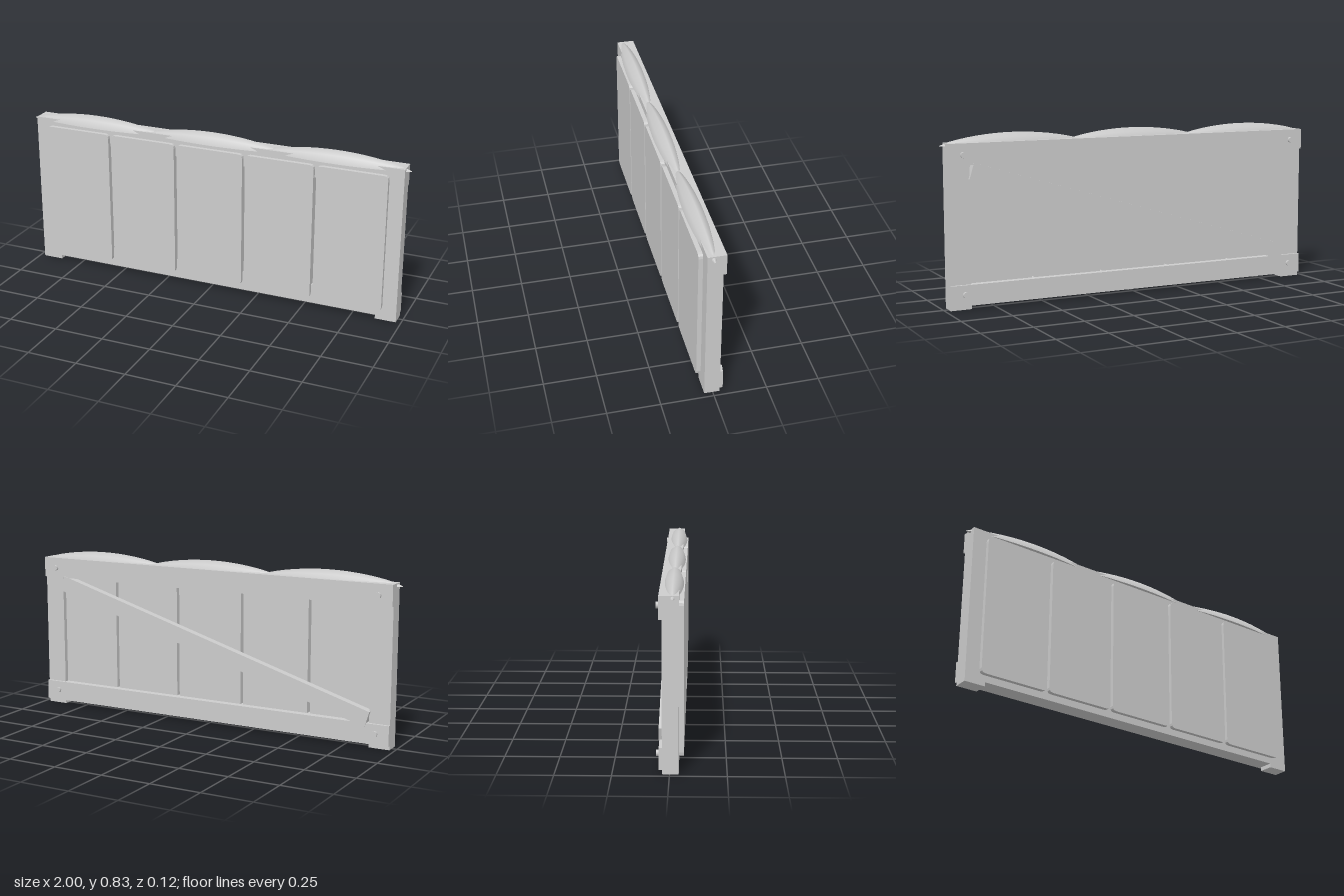
import * as THREE from 'three';

export function createModel() {
  const group = new THREE.Group();
  group.name = 'woodenBarrier';
  const grey = new THREE.MeshStandardMaterial({ color: 0xcccccc });
  grey.name = 'plainGrey';

  const add = (name, geometry, x = 0, y = 0, z = 0) => {
    const mesh = new THREE.Mesh(geometry, grey);
    mesh.name = name;
    mesh.position.set(x, y, z);
    group.add(mesh);
    return mesh;
  };
  // Box given by its limits on each axis
  const box = (name, x0, x1, y0, y1, z0, z1) =>
    add(name, new THREE.BoxGeometry(x1 - x0, y1 - y0, z1 - z0),
      (x0 + x1) / 2, (y0 + y1) / 2, (z0 + z1) / 2);

  // Frame: two posts and two rails
  box('leftPost', 0.87, 0.975, 0, 0.788, -0.033, 0.04);
  box('rightPost', -0.975, -0.87, 0, 0.788, -0.033, 0.04);
  box('topRail', -0.975, 0.975, 0.685, 0.788, -0.047, 0.04);
  box('bottomRail', -0.975, 0.975, 0.02, 0.12, -0.047, 0.04);

  // Upright planks with rounded corners
  const w = 0.175, h = 0.349, r = 0.022;
  const shape = new THREE.Shape();
  shape.moveTo(-w + r, -h);
  shape.lineTo(w - r, -h);
  shape.quadraticCurveTo(w, -h, w, -h + r);
  shape.lineTo(w, h - r);
  shape.quadraticCurveTo(w, h, w - r, h);
  shape.lineTo(-w + r, h);
  shape.quadraticCurveTo(-w, h, -w, h - r);
  shape.lineTo(-w, -h + r);
  shape.quadraticCurveTo(-w, -h, -w + r, -h);
  const plank = new THREE.ExtrudeGeometry(shape, { depth: 0.071, bevelEnabled: false, curveSegments: 3 });
  for (let i = -2; i <= 2; i++) add('plank', plank, i * 0.3645, 0.402, -0.01);

  // Diagonal brace across the back
  const brace = add('diagonalBrace', new THREE.BoxGeometry(1.806, 0.08, 0.04), 0, 0.3975, -0.03);
  brace.rotation.z = 0.291;

  // Bolts at the frame corners
  const bolt = new THREE.CylinderGeometry(0.015, 0.015, 0.02, 8);
  bolt.rotateX(-Math.PI / 2);
  for (const x of [-0.905, 0.905])
    for (const y of [0.074, 0.734]) add('bolt', bolt, x, y, -0.05);

  // Tapered mounds lying along the top rail
  const mound = moundGeometry();
  for (const x of [-0.635, 0, 0.635]) add('topMound', mound, x, 0.772, 0.012);

  return group;
}

// Low arched cross-section, scaled along x so that both ends taper
function moundGeometry() {
  const section = [[0.045, 0], [0.033, 0.037], [0, 0.056], [-0.033, 0.037], [-0.045, 0]];
  const steps = 16, n = section.length, positions = [], index = [];
  const ring = (points) => {
    for (const [z, y, x, s] of points) positions.push(x, y * s, z * s);
  };
  const at = (i) => {
    const a = (i / steps - 0.5) * Math.PI;
    return [0.365 * i / steps * 2 - 0.365, 0.06 + 0.94 * Math.pow(Math.max(0, Math.cos(a)), 0.7)];
  };
  // Arched upper skin
  for (let i = 0; i <= steps; i++) ring(section.map((p) => [...p, ...at(i)]));
  for (let i = 0; i < steps; i++)
    for (let j = 0; j < n - 1; j++) {
      const a = i * n + j, b = a + n;
      index.push(a, b, b + 1, a, b + 1, a + 1);
    }
  // Flat underside
  const base = positions.length / 3;
  for (let i = 0; i <= steps; i++) ring([section[0], section[n - 1]].map((p) => [...p, ...at(i)]));
  for (let i = 0; i < steps; i++) {
    const a = base + i * 2;
    index.push(a, a + 1, a + 3, a, a + 3, a + 2);
  }
  // End caps
  for (const i of [0, steps]) {
    const start = positions.length / 3;
    ring(section.map((p) => [...p, ...at(i)]));
    for (let j = 1; j < n - 1; j++)
      index.push(start, ...(i ? [start + j + 1, start + j] : [start + j, start + j + 1]));
  }
  // Caps are wound outward: -x end first, +x end second
  const geometry = new THREE.BufferGeometry();
  geometry.setAttribute('position', new THREE.Float32BufferAttribute(positions, 3));
  geometry.setIndex(index);
  geometry.computeVertexNormals();
  return geometry;
}
